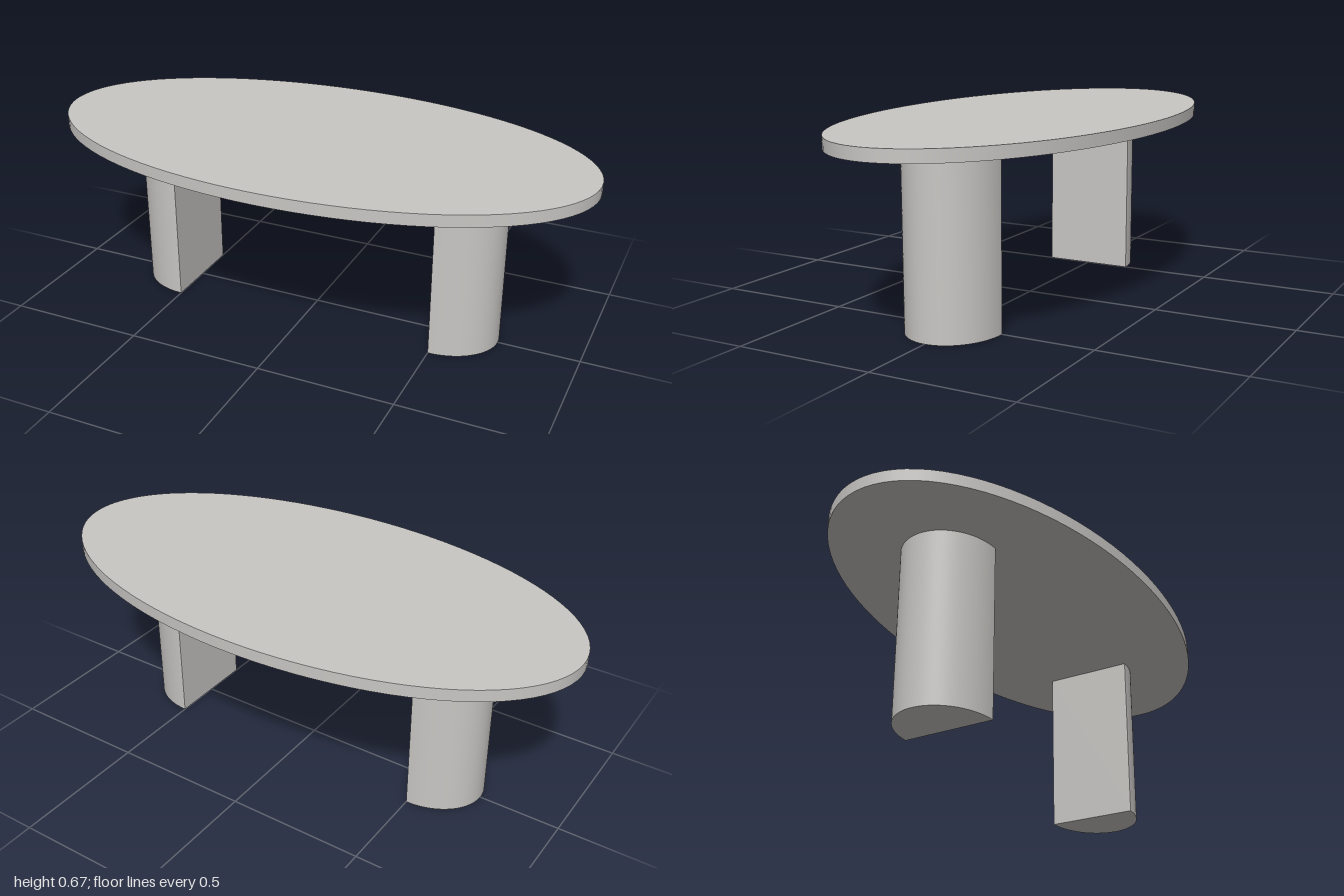
import * as THREE from 'three';

export function createModel() {
  const model = new THREE.Group();
  model.name = 'ovalTable';

  const stone = new THREE.MeshStandardMaterial({ color: 0xc9c7c4 });
  stone.name = 'pale grey stone';

  const topY = 0.67, underY = 0.627;

  // Thin oval table top
  const topGeometry = new THREE.CylinderGeometry(1, 1, topY - underY, 96);
  topGeometry.scale(1, 1, 0.505);
  const top = new THREE.Mesh(topGeometry, stone);
  top.name = 'tableTop';
  top.position.y = (topY + underY) / 2;
  model.add(top);

  // Half-oval leg section: flat side inward, curved side outward
  const section = new THREE.Shape();
  section.moveTo(0, -0.167);
  section.absellipse(0, 0, 0.205, 0.167, -Math.PI / 2, Math.PI / 2, false);
  section.closePath();
  const legGeometry = new THREE.ExtrudeGeometry(section, {
    depth: underY, bevelEnabled: false, curveSegments: 40,
  });
  legGeometry.rotateX(-Math.PI / 2);

  // Smooth the curved wall, keeping flat faces and edges sharp
  const pos = legGeometry.attributes.position, normal = legGeometry.attributes.normal;
  for (let i = 0; i < pos.count; i++) {
    if (Math.abs(normal.getY(i)) > 0.5 || normal.getX(i) < -0.9) continue;
    const n = new THREE.Vector3(pos.getX(i) / 0.205 ** 2, 0, pos.getZ(i) / 0.167 ** 2).normalize();
    normal.setXYZ(i, n.x, 0, n.z);
  }

  // Matching pair of legs, turned to face each other
  for (const side of [1, -1]) {
    const leg = new THREE.Mesh(legGeometry, stone);
    leg.name = side > 0 ? 'leftLeg' : 'rightLeg';
    leg.position.x = side * 0.5;
    if (side < 0) leg.rotation.y = Math.PI;
    model.add(leg);
  }

  return model;
}
